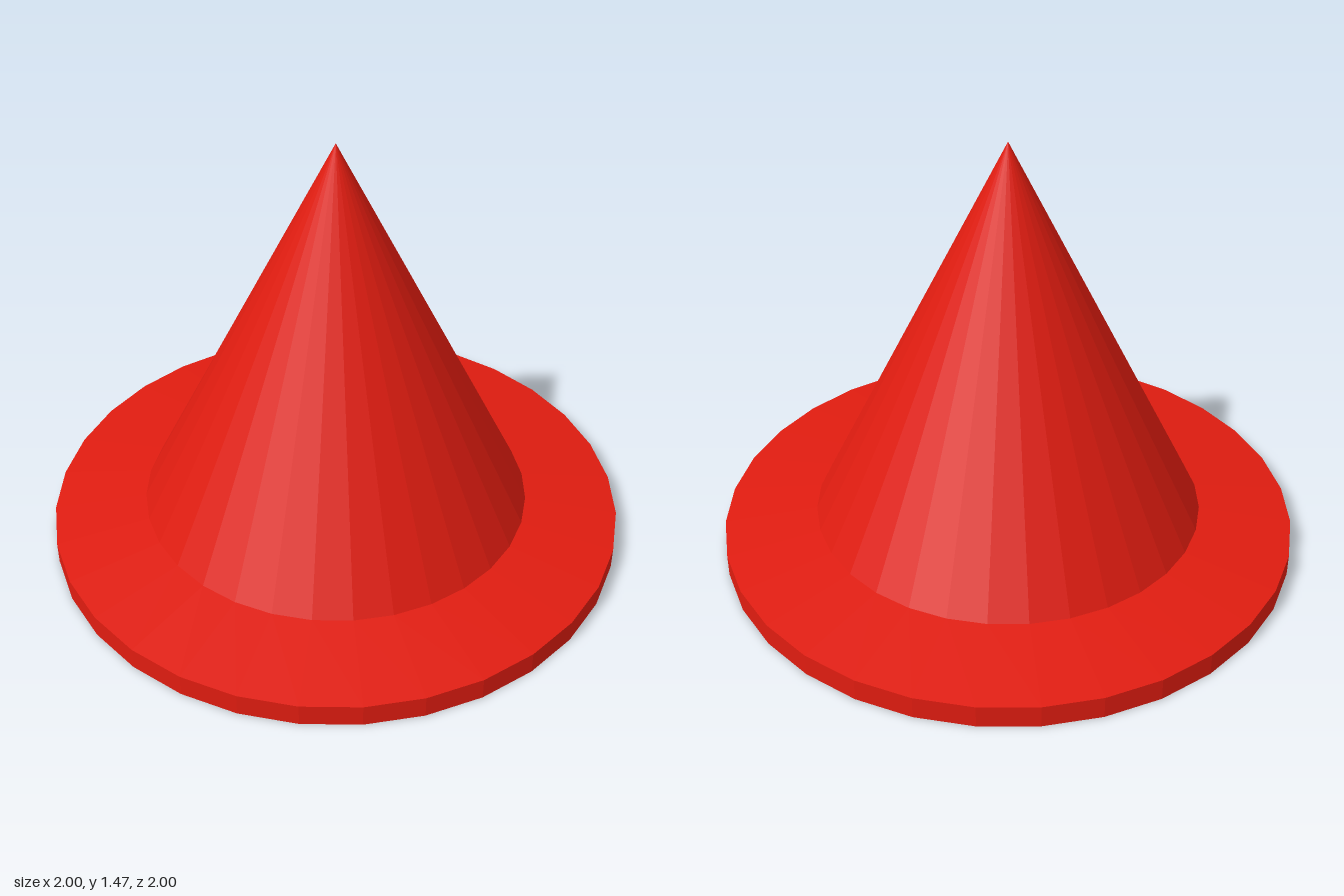
import * as THREE from 'three';

const SIDES = 32;
const BRIM_RADIUS = 1;
const CONE_RADIUS = 0.677;
const EDGE_HEIGHT = 0.078;
const CONE_BASE = 0.117;
const TIP = 1.47;

export function createModel() {
  const group = new THREE.Group();
  group.name = 'coneHat';
  const red = new THREE.MeshStandardMaterial({ color: 0xe01c10, flatShading: true });

  function addLathe(name, profile) {
    const points = profile.map(([r, y]) => new THREE.Vector2(r, y));
    const mesh = new THREE.Mesh(new THREE.LatheGeometry(points, SIDES), red);
    mesh.name = name;
    group.add(mesh);
  }

  // Brim: flat underside, upright rim, gently sloping top
  addLathe('brim', [
    [0, 0],
    [BRIM_RADIUS, 0],
    [BRIM_RADIUS, EDGE_HEIGHT],
    [CONE_RADIUS, CONE_BASE],
  ]);

  // Pointed cone rising from the inner edge of the brim
  addLathe('cone', [
    [CONE_RADIUS, CONE_BASE],
    [0, TIP],
  ]);

  return group;
}
